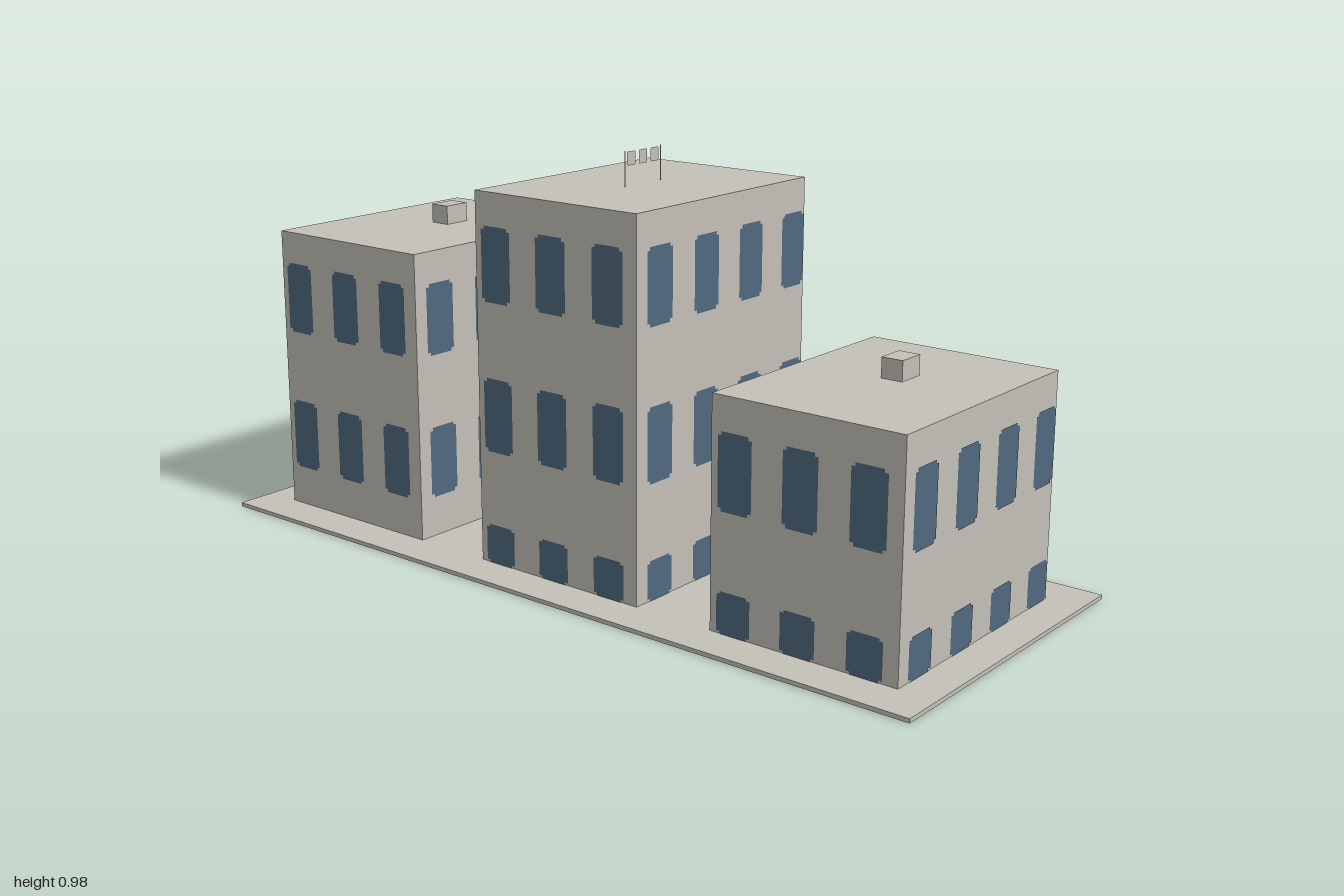
import * as THREE from 'three';

const HALF_W = 0.31, DEPTH = 0.472, GROUND = 0.01;
const WIN_W = 0.087, WIN_H = 0.176, STEP_X = 0.165, STEP_Y = 0.355;

const wall = new THREE.MeshStandardMaterial({ color: 0xc4c0b8, side: THREE.DoubleSide });
wall.name = 'concrete';
const glass = new THREE.MeshStandardMaterial({ color: 0x50697f, side: THREE.DoubleSide });
glass.name = 'windowBlue';

function add(parent, name, geometry, material, x, y, z) {
  const mesh = new THREE.Mesh(geometry, material);
  mesh.name = name;
  mesh.position.set(x, y, z);
  parent.add(mesh);
  return mesh;
}

// Rectangle with small stepped corners, lower left at the origin
function notchedPane(w, h, notchX, notchY) {
  const s = new THREE.Shape();
  s.moveTo(notchX, 0);
  [[w - notchX, 0], [w - notchX, notchY], [w, notchY], [w, h - notchY], [w - notchX, h - notchY],
    [w - notchX, h], [notchX, h], [notchX, h - notchY], [0, h - notchY], [0, notchY], [notchX, notchY]]
    .forEach(([x, y]) => s.lineTo(x, y));
  return new THREE.ShapeGeometry(s);
}

// One facade of windows, x running from 0 at its left edge; y is world height
function facade(name, count, start, top) {
  const group = new THREE.Group();
  group.name = name;
  for (let head = top - 0.078; head > GROUND + 0.02; head -= STEP_Y) {
    const sill = Math.max(head - WIN_H, GROUND);
    const pane = sill > GROUND
      ? notchedPane(WIN_W, WIN_H, 0.009, 0.008)
      : notchedPane(WIN_W, head - sill, 0.009, 0.006);
    for (let i = 0; i < count; i++) add(group, 'window', pane, glass, start + i * STEP_X, sill, 0);
  }
  return group;
}

function building(name, top, z) {
  const group = new THREE.Group();
  group.name = name;
  group.position.z = z;
  add(group, 'walls', new THREE.BoxGeometry(HALF_W * 2, top - GROUND, DEPTH), wall, 0, (top + GROUND) / 2, 0);

  const out = 0.0015;
  // Front and back share the same window positions along x
  for (const side of [1, -1]) {
    const f = facade(side > 0 ? 'frontWindows' : 'backWindows', 4, 0.035, top);
    f.position.set(-HALF_W, 0, side * (DEPTH / 2 + out));
    group.add(f);
  }
  // Left and right share the same window positions along z
  for (const side of [1, -1]) {
    const f = facade(side > 0 ? 'leftWindows' : 'rightWindows', 3, 0.037, top);
    f.rotation.y = Math.PI / 2;
    f.position.set(side * (HALF_W + out), 0, DEPTH / 2);
    group.add(f);
  }
  return group;
}

function roofBox(parent, top) {
  add(parent, 'roofVent', new THREE.BoxGeometry(0.07, 0.047, 0.053), wall, 0.045, top + 0.0235, 0);
}

// Flat rooftop frame: two thin posts and three small panels
function roofFrame(parent, top) {
  const group = new THREE.Group();
  group.name = 'roofFrame';
  group.position.y = top;
  for (const s of [-1, 1]) add(group, 'post', new THREE.PlaneGeometry(0.003, 0.082), wall, s * 0.064, 0.041, 0);
  const panel = notchedPane(0.029, 0.032, 0.002, 0.002);
  for (const i of [-1, 0, 1]) add(group, 'panel', panel, wall, i * 0.042 - 0.0145, 0.047, 0);
  parent.add(group);
}

export function createModel() {
  const model = new THREE.Group();
  model.name = 'buildingRow';
  add(model, 'base', new THREE.BoxGeometry(0.82, GROUND, 2), wall, 0, GROUND / 2, 0);

  const low = building('lowBuilding', 0.54, 0.675);
  roofBox(low, 0.54);
  const tall = building('tallBuilding', 0.893, 0);
  roofFrame(tall, 0.893);
  const middle = building('middleBuilding', 0.718, -0.675);
  roofBox(middle, 0.718);

  model.add(low, tall, middle);
  return model;
}
